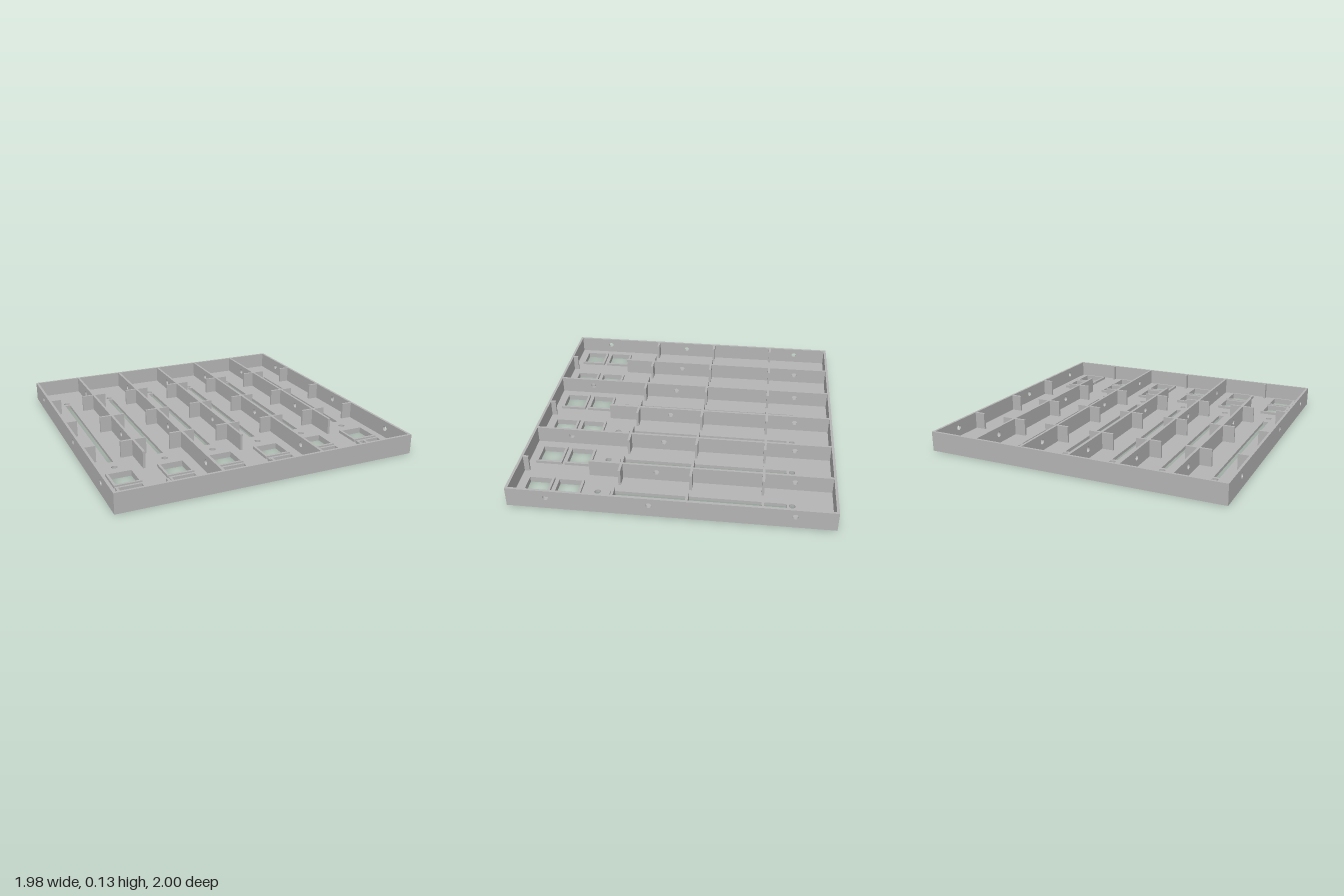
import * as THREE from 'three';

const W = 1.98, D = 2, H = 0.13; // overall width, depth, height
const T = 0.016;                 // wall thickness
const F = 0.02;                  // floor thickness
const PITCH = 0.33;              // bay spacing
const WIRE_HOLES = [-0.75, 0.12, 0.75];
const RIB_ROWS = [-0.555, -0.105, 0.345];

const rectInto = (path, x0, y0, x1, y1) => {
  path.moveTo(x0, y0);
  path.lineTo(x1, y0);
  path.lineTo(x1, y1);
  path.lineTo(x0, y1);
  path.closePath();
  return path;
};
const rectShape = (...r) => rectInto(new THREE.Shape(), ...r);
const rectHole = (...r) => rectInto(new THREE.Path(), ...r);
const roundHole = (x, y, r) => new THREE.Path().absarc(x, y, r, 0, Math.PI * 2, true);

// Shape drawn in (x, z), lying flat with its top at the given height
function slab(shape, thickness, top) {
  return new THREE.ExtrudeGeometry(shape, { depth: thickness, bevelEnabled: false, curveSegments: 16 })
    .rotateX(Math.PI / 2).translate(0, top, 0);
}

// Upright wall along z with the cable holes that fall inside its length
function sideWall(x, z0, z1, y0) {
  const shape = rectShape(z0, y0, z1, H);
  for (const z of WIRE_HOLES) {
    if (z > z0 && z < z1) shape.holes.push(roundHole(z, 0.08, 0.018));
  }
  return new THREE.ExtrudeGeometry(shape, { depth: T, bevelEnabled: false, curveSegments: 16 })
    .rotateY(-Math.PI / 2).translate(x + T / 2, 0, 0);
}

export function createModel() {
  const group = new THREE.Group();
  const grey = new THREE.MeshStandardMaterial({ color: 0xb4b4b4 });
  grey.name = 'grey plastic';
  const add = (name, geometry) => {
    const mesh = new THREE.Mesh(geometry, grey);
    mesh.name = name;
    group.add(mesh);
  };
  const bays = [0, 1, 2, 3, 4, 5].map((i) => (i - 2.5) * PITCH);
  const windows = [0.655, 0.848];
  const half = 0.072; // half size of a window

  // Floor with a slot, two screw holes and two windows in each bay
  const floor = rectShape(-W / 2, -D / 2, W / 2, D / 2);
  for (const x of bays) {
    floor.holes.push(rectHole(x - 0.018, -0.7, x + 0.018, 0.39));
    floor.holes.push(roundHole(x, -0.735, 0.02), roundHole(x, 0.468, 0.02));
    for (const z of windows) floor.holes.push(rectHole(x - half, z - half, x + half, z + half));
  }
  add('floor', slab(floor, F, F));

  // Raised window frames
  for (const x of bays) {
    for (const z of windows) {
      const o = half + 0.015;
      const frame = rectShape(x - o, z - o, x + o, z + o);
      frame.holes.push(rectHole(x - half, z - half, x + half, z + half));
      add('windowFrame', slab(frame, 0.018, F + 0.018));
    }
  }

  // Outer walls
  for (const s of [-1, 1]) {
    add('sideWall', sideWall(s * (W - T) / 2, -D / 2, D / 2, F));
    add(s > 0 ? 'frontWall' : 'backWall',
      new THREE.BoxGeometry(W - 2 * T, H - F, T).translate(0, (H + F) / 2, s * (D - T) / 2));
  }

  // Dividers between bays; every other one stops short of the windows
  const inner = D / 2 - T;
  for (let i = -2; i <= 2; i++) {
    const short = i % 2 === 0;
    add('divider', sideWall(i * PITCH, -inner, short ? 0.555 : inner, F));
    if (short) add('dividerStub', sideWall(i * PITCH, 0.95, inner, F));
  }

  // Cross ribs on both faces of the dividers and inside the side walls
  for (const z of RIB_ROWS) {
    for (let i = -3; i <= 3; i++) {
      for (const s of [-1, 1]) {
        if (i * s === 3) continue; // outside the tray
        const start = Math.abs(i) === 3 ? W / 2 - T : PITCH * Math.abs(i);
        const x0 = Math.sign(i) * start + (Math.abs(i) === 3 ? 0 : s * T / 2);
        const x1 = i * PITCH + s * 0.085;
        add('crossRib', new THREE.BoxGeometry(Math.abs(x1 - x0), H - F, T)
          .translate((x0 + x1) / 2, (H + F) / 2, z));
      }
    }
  }

  return group;
}
